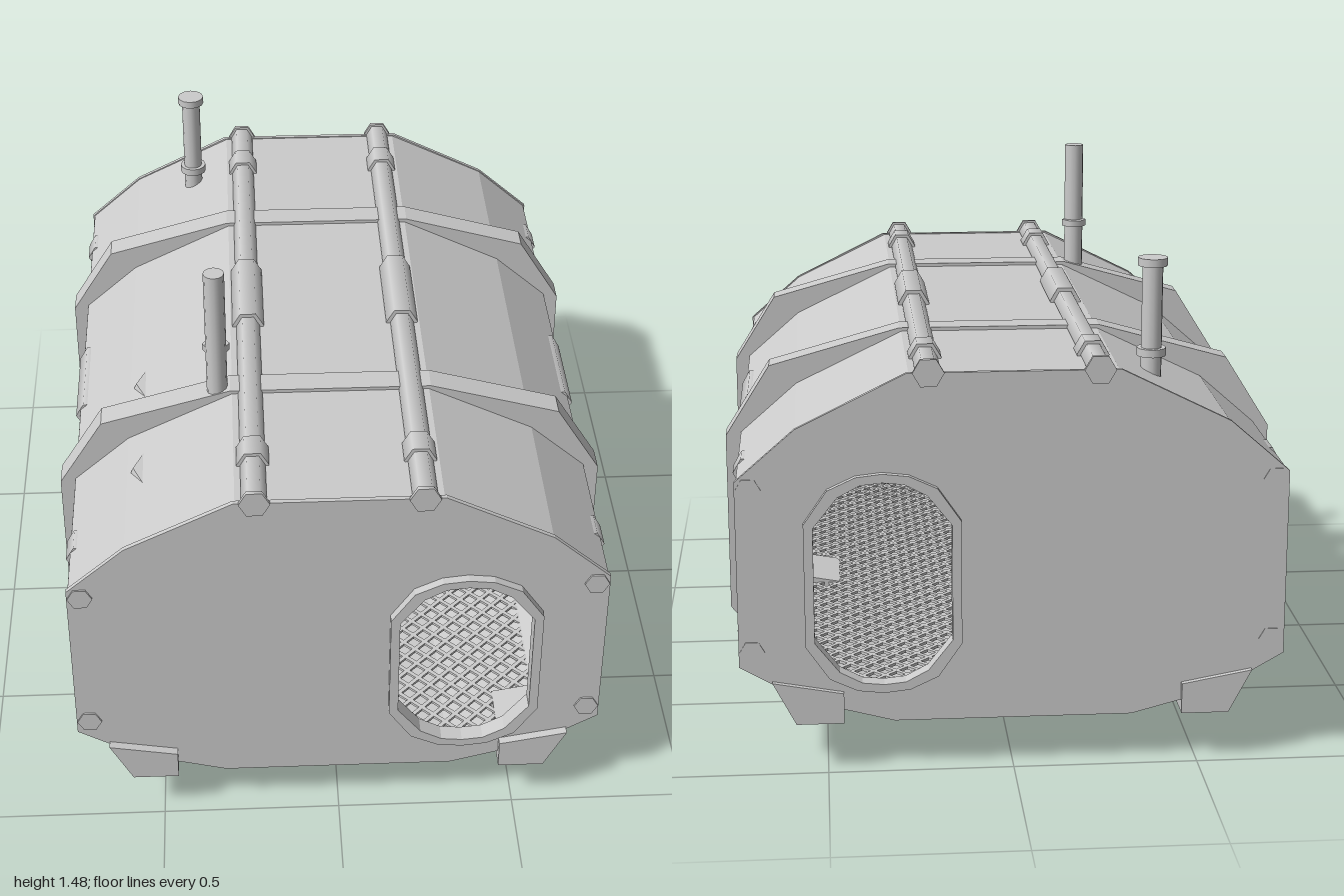
import * as THREE from 'three';
import { mergeGeometries } from 'three/addons/utils/BufferGeometryUtils.js';

export function createModel() {
  const model = new THREE.Group();
  const grey = new THREE.MeshStandardMaterial({ color: 0xcccccc, side: THREE.DoubleSide });
  grey.name = 'plain grey';

  const add = (name, geometry, x = 0, y = 0, z = 0) => {
    const mesh = new THREE.Mesh(geometry, grey);
    mesh.name = name;
    mesh.position.set(x, y, z);
    model.add(mesh);
  };
  // Right half of an outline, top to bottom, closed by mirroring in x
  const mirrored = half => [...half, ...half.slice().reverse().map(([x, y]) => [-x, y])]
    .map(([x, y]) => new THREE.Vector2(x, y));
  // Outline extruded from z0 to z1; the hole winds the other way so its walls face inward
  const slab = (outer, hole, z0, z1) => {
    const shape = new THREE.Shape(outer);
    if (hole) shape.holes.push(new THREE.Path(hole.slice().reverse()));
    return new THREE.ExtrudeGeometry(shape, { depth: z1 - z0, bevelEnabled: false }).translate(0, 0, z0);
  };
  // Six-sided rod along z with corners pointing left and right
  const rodZ = (r, length) => new THREE.CylinderGeometry(r, r, length, 6).rotateY(Math.PI / 6).rotateX(Math.PI / 2);

  // Hull shell
  const hull = mirrored([[0.275, 1.097], [0.57, 0.953], [0.727, 0.815], [0.727, 0.303], [0.56, 0.205], [0.32, 0.14]]);
  const lining = hull.map(p => new THREE.Vector2(p.x * 0.988, 0.62 + (p.y - 0.62) * 0.985));
  add('hullShell', slab(hull, lining, -0.975, 0.965));

  // End walls with a framed doorway each
  const wall = mirrored([[0.28, 1.1], [0.572, 0.955], [0.732, 0.815], [0.732, 0.302], [0.56, 0.202], [0.32, 0.138]]);
  const doorway = corners => {
    const side = [...corners, ...corners.slice().reverse().map(([x, y]) => [x, -y])];
    return mirrored(side).map(p => new THREE.Vector2(p.x + 0.347, p.y + 0.53));
  };
  const doorOuter = doorway([[0, 0.305], [0.07, 0.297], [0.145, 0.262], [0.208, 0.17]]);
  const doorInner = doorway([[0, 0.281], [0.058, 0.275], [0.118, 0.243], [0.183, 0.16]]);
  add('frontWall', slab(wall, doorOuter, 0.96, 0.974));
  add('backWall', slab(wall, doorOuter, -0.983, -0.97));
  add('frontDoorFrame', slab(doorOuter, doorInner, 0.95, 1));
  add('backDoorFrame', slab(doorOuter, doorInner, -1, -0.955));

  // Reinforcing ribs around the hull
  const rib = mirrored([[0.28, 1.107], [0.645, 1.005], [0.77, 0.805], [0.77, 0.295], [0.645, 0.14], [0.385, 0.055]]);
  for (const z of [0.44, -0.457]) add('rib', slab(rib, lining, z - 0.038, z + 0.038));

  // Long rails with clamps, a middle sleeve and end caps
  for (const s of [-1, 1]) {
    for (const [x, y] of [[0.224, 1.1], [0.696, 0.793], [0.696, 0.343]]) {
      add('rail', rodZ(0.034, 1.965), s * x, y, -0.003);
      for (const z of [-0.78, 0.77]) add('railClamp', rodZ(0.044, 0.08), s * x, y, z);
      add('railSleeve', rodZ(0.046, 0.3), s * x, y, -0.005);
    }
    for (const z of [-0.983, 0.975]) add('railEndCap', rodZ(0.042, 0.012), s * 0.224, 1.1, z);
  }

  // Wedge-shaped feet, three on each side
  for (const s of [-1, 1]) {
    const foot = [[0.455, 0.225], [0.455, 0.14], [0.583, 0.14], [0.645, 0.26]]
      .map(([x, y]) => new THREE.Vector2(s * x, y));
    for (const z of [0.89, 0, -0.89]) add('foot', slab(foot, null, z - 0.108, z + 0.108));
  }

  // Upright tanks standing through the floor and touching the roof
  const tankProfile = [[0, 0], [0.122, 0], [0.122, 0], [0.16, 0.09], [0.176, 0.15], [0.176, 0.82],
    [0.16, 0.885], [0.122, 0.975], [0.122, 0.975], [0, 0.975]].map(([x, y]) => new THREE.Vector2(x, y));
  for (const z of [0.645, 0.245]) add('tank', new THREE.LatheGeometry(tankProfile, 8), -0.43, 0, z);

  // Tall pipe between the tanks, with a six-sided collar near each end
  add('tallPipe', new THREE.CylinderGeometry(0.029, 0.029, 1.455, 12), -0.316, 0.748, 0.447);
  for (const y of [0.022, 1.228]) {
    add('pipeCollar', new THREE.CylinderGeometry(0.038, 0.038, 0.02, 6).rotateY(Math.PI / 6), -0.316, y, 0.433);
  }

  // Capped vent on the roof
  add('vent', new THREE.CylinderGeometry(0.028, 0.028, 0.34, 12), -0.385, 1.18, -0.788);
  for (const y of [1.1, 1.345]) add('ventFlange', new THREE.CylinderGeometry(0.04, 0.04, 0.022, 12), -0.385, y, -0.788);

  // Diamond floor grating, each bar clipped to the floor rectangle
  const halfWidth = 0.605, halfLength = 0.955, bars = [];
  for (const s of [-1, 1]) {
    for (let c = -1.519; c < 1.53; c += 0.062) {
      // Bar follows z = s * x + c
      const xa = Math.max(-halfWidth, s > 0 ? -halfLength - c : c - halfLength);
      const xb = Math.min(halfWidth, s > 0 ? halfLength - c : c + halfLength);
      if (xb - xa < 0.02) continue;
      const x = (xa + xb) / 2;
      bars.push(new THREE.BoxGeometry((xb - xa) * Math.SQRT2, 0.008, 0.012)
        .rotateY(-s * Math.PI / 4).translate(x, 0.22, s * x + c));
    }
  }
  add('floorGrating', mergeGeometries(bars));

  return model;
}
